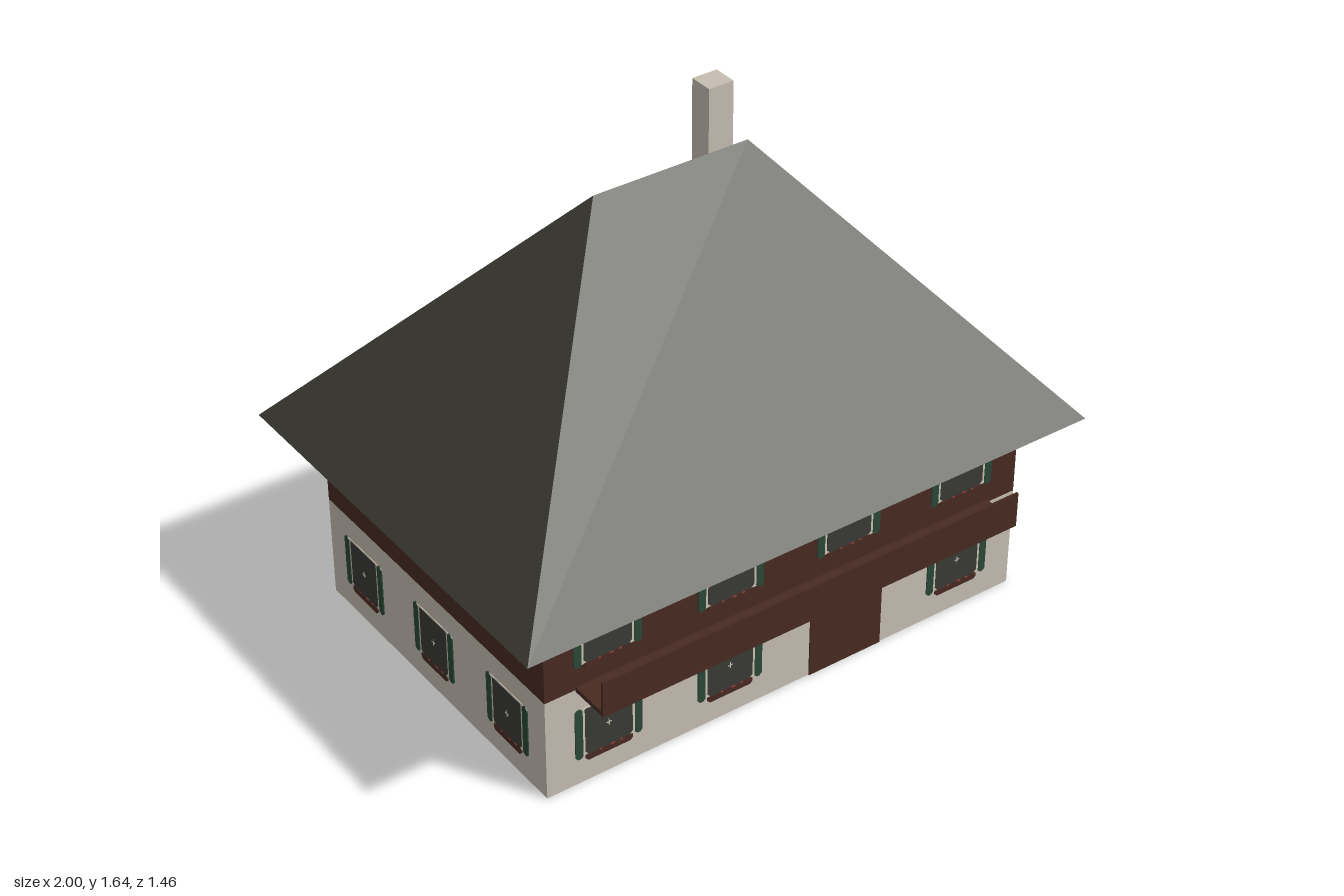
import * as THREE from 'three';

const mat = (name, color, side = THREE.FrontSide) => {
  const m = new THREE.MeshStandardMaterial({ color, side });
  m.name = name;
  return m;
};

export function createModel() {
  const plaster = mat('plaster', 0xc6beb2, THREE.DoubleSide);
  const timber = mat('timber', 0x482a21, THREE.DoubleSide);
  const roofing = mat('roofing', 0x403f36);
  const glassMat = mat('glass', 0x3a3b36);
  const shutterMat = mat('shutterGreen', 0x2b4836);
  const frameMat = mat('frameCream', 0xcdc4b4);
  const flowerMat = mat('flowerRed', 0x963a38);

  const W = 0.86, D = 0.59, FLOOR = 0.35, EAVE = 0.64;
  const house = new THREE.Group();
  house.name = 'house';

  const add = (parent, name, geo, material, x = 0, y = 0, z = 0) => {
    const mesh = new THREE.Mesh(geo, material);
    mesh.name = name;
    mesh.position.set(x, y, z);
    parent.add(mesh);
    return mesh;
  };
  const box = (parent, name, material, w, h, d, x, y, z = 0) =>
    add(parent, name, new THREE.BoxGeometry(w, h, d), material, x, y, z);

  // Thin plate with clipped corners, centred on the wall plane
  const plate = (parent, name, material, w, h, t, x, y, top, bottom = top) => {
    const a = w / 2, b = h / 2;
    const s = new THREE.Shape([
      [-a + bottom, -b], [a - bottom, -b], [a, -b + bottom], [a, b - top],
      [a - top, b], [-a + top, b], [-a, b - top], [-a, -b + bottom],
    ].map(([px, py]) => new THREE.Vector2(px, py)));
    const geo = new THREE.ExtrudeGeometry(s, { depth: t, bevelEnabled: false });
    return add(parent, name, geo.translate(0, 0, -t / 2), material, x, y, 0);
  };

  // Window with frame, panes, shutters and flower box, visible inside and out
  const addWindow = (wall, x, y, half) => {
    const g = new THREE.Group();
    g.name = 'window';
    g.position.set(x, y, 0);
    wall.add(g);
    const inner = half - 0.024;
    box(g, 'windowFrame', frameMat, inner * 2, 0.176, 0.004, 0, 0.002);
    plate(g, 'windowPane', glassMat, inner * 2 - 0.018, 0.17, 0.006, 0, 0, 0.002, 0.012);
    box(g, 'verticalLatch', frameMat, 0.003, 0.022, 0.008, 0, 0);
    box(g, 'horizontalLatch', frameMat, 0.018, 0.003, 0.008, 0, 0);
    for (const s of [-1, 1]) {
      plate(g, 'shutter', shutterMat, 0.026, 0.182, 0.007, s * (half - 0.012), 0, 0.008);
    }
    plate(g, 'flowerBox', timber, inner * 2 - 0.02, 0.022, 0.008, 0, -0.095, 0.002, 0.008);
    for (const [fx, w] of [[-0.03, 0.008], [0.012, 0.014], [0.042, 0.01]]) {
      box(g, 'flowers', flowerMat, w, 0.005, 0.009, fx, -0.086);
    }
  };

  // One wall: plaster below, timber above, open at the bottom
  const addWall = (name, width, x, z, turn, columns, half, doorX) => {
    const wall = new THREE.Group();
    wall.name = name;
    wall.position.set(x, 0, z);
    wall.rotation.y = turn;
    house.add(wall);
    add(wall, 'groundFloorWall', new THREE.PlaneGeometry(width, FLOOR), plaster, 0, FLOOR / 2);
    add(wall, 'upperFloorWall', new THREE.PlaneGeometry(width, EAVE - FLOOR), timber, 0, (FLOOR + EAVE) / 2);
    for (const c of columns) {
      if (c !== doorX) addWindow(wall, c, 0.182, half);
      addWindow(wall, c, 0.518, half);
    }
    if (doorX !== undefined) plate(wall, 'door', timber, 0.27, 0.255, 0.008, doorX, 0.1275, 0.012, 0);
  };
  const long = [-0.645, -0.215, 0.215, 0.645];
  const short = [-0.395, 0, 0.395];
  addWall('frontWall', W * 2, 0, D, 0, long, 0.115, 0.215);
  addWall('backWall', W * 2, 0, -D, Math.PI, long, 0.115);
  addWall('leftWall', D * 2, W, 0, Math.PI / 2, short, 0.106);
  addWall('rightWall', D * 2, -W, 0, -Math.PI / 2, short, 0.106);

  // Hipped roof: four slopes from the eaves to a short ridge
  const RX = 1, RZ = 0.73, RIDGE = 0.27, TOP = 1.505;
  const fl = [-RX, EAVE, RZ], fr = [RX, EAVE, RZ], br = [RX, EAVE, -RZ], bl = [-RX, EAVE, -RZ];
  const r0 = [-RIDGE, TOP, 0], r1 = [RIDGE, TOP, 0];
  const slopes = new THREE.BufferGeometry();
  slopes.setAttribute('position', new THREE.Float32BufferAttribute([
    fl, fr, r1, fl, r1, r0,
    br, bl, r0, br, r0, r1,
    fr, br, r1, bl, fl, r0,
  ].flat(), 3));
  slopes.computeVertexNormals();
  add(house, 'roof', slopes, roofing);

  // Timber soffit and ceiling
  const soffit = add(house, 'soffit', new THREE.PlaneGeometry(RX * 2, RZ * 2), timber, 0, EAVE, 0);
  soffit.rotation.x = Math.PI / 2;

  // Chimney
  box(house, 'chimney', plaster, 0.088, 0.44, 0.082, 0.256, 1.418, -0.152);

  // Balcony with open ends
  const balcony = new THREE.Group();
  balcony.name = 'balcony';
  house.add(balcony);
  box(balcony, 'balconyFloor', timber, 1.51, 0.016, 0.135, 0, 0.352, 0.6575);
  box(balcony, 'balconyParapet', timber, 1.51, 0.122, 0.008, 0, 0.404, 0.721);

  return house;
}
